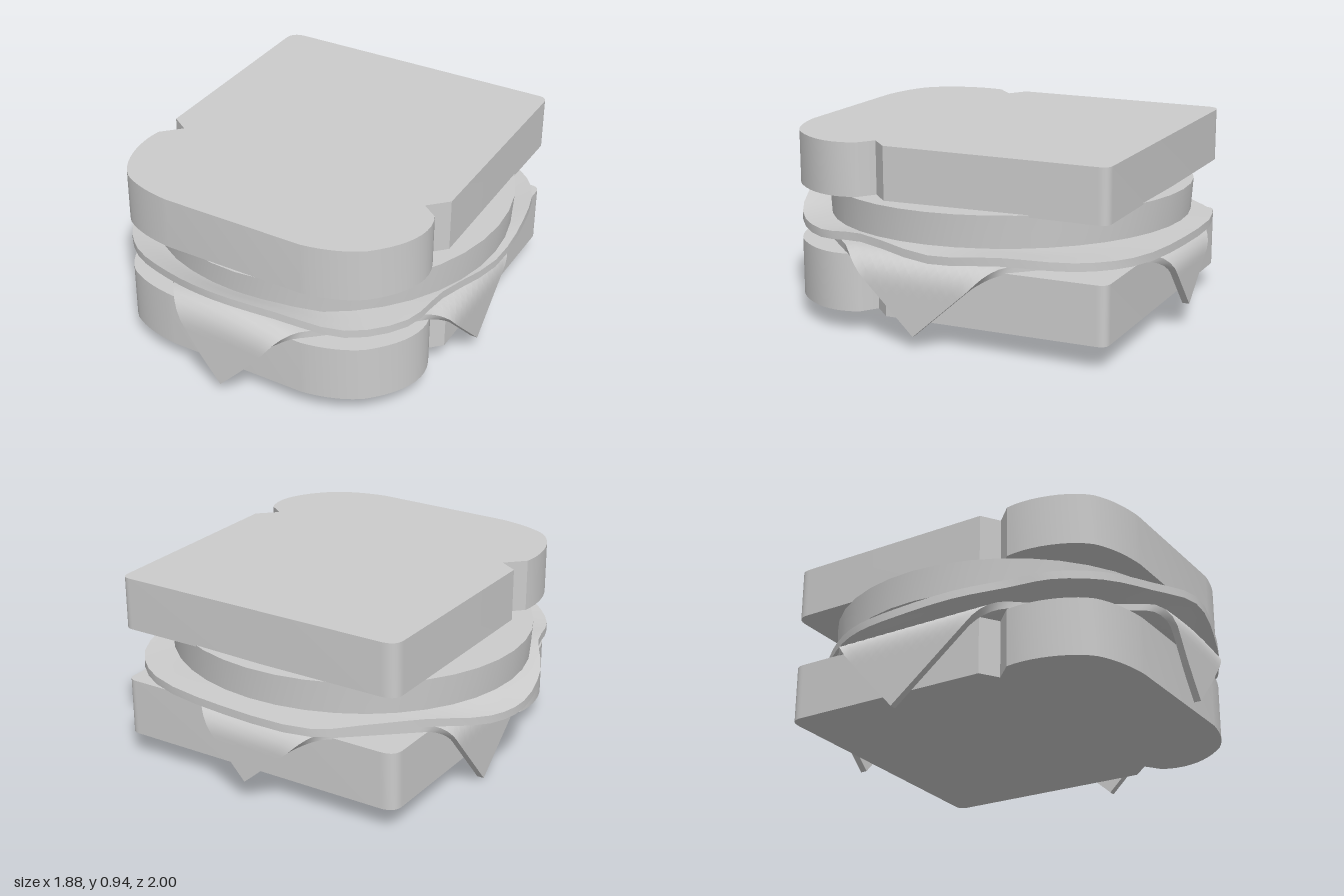
import * as THREE from 'three';
import { toCreasedNormals } from 'three/addons/utils/BufferGeometryUtils.js';

const material = new THREE.MeshStandardMaterial({ color: 0xcccccc, side: THREE.DoubleSide });
const smooth = THREE.MathUtils.smoothstep;
const lerp = THREE.MathUtils.lerp;

function part(name, geometry, crease = 0.6) {
  const mesh = new THREE.Mesh(toCreasedNormals(geometry, crease), material);
  mesh.name = name;
  return mesh;
}

// Move every vertex of a geometry by a rule (x, y, z) => [x, y, z]
function warp(geometry, rule) {
  const p = geometry.attributes.position;
  for (let i = 0; i < p.count; i++) p.setXYZ(i, ...rule(p.getX(i), p.getY(i), p.getZ(i)));
  geometry.computeVertexNormals();
  return geometry;
}

// Bread slice: square back, notched sides, rounded crown toward the front
function bread(name, bottom, top, tiltX, tiltZ) {
  const s = new THREE.Shape();
  s.moveTo(-0.70, -0.80);
  s.quadraticCurveTo(-0.70, -0.87, -0.62, -0.87);
  s.lineTo(0.76, -0.87);
  s.quadraticCurveTo(0.81, -0.87, 0.81, -0.82);
  s.lineTo(0.82, 0.24);
  s.lineTo(0.73, 0.33);
  s.lineTo(0.81, 0.39);
  s.bezierCurveTo(0.87, 0.52, 0.81, 0.66, 0.68, 0.78);
  s.quadraticCurveTo(0.57, 0.86, 0.40, 0.88);
  s.lineTo(-0.32, 0.87);
  s.quadraticCurveTo(-0.50, 0.85, -0.60, 0.78);
  s.bezierCurveTo(-0.69, 0.70, -0.74, 0.52, -0.71, 0.38);
  s.lineTo(-0.62, 0.29);
  s.lineTo(-0.71, 0.23);
  s.closePath();
  const g = new THREE.ExtrudeGeometry(s, { depth: top - bottom, bevelEnabled: false, curveSegments: 10 });
  g.rotateX(Math.PI / 2).translate(0, top, 0);
  return part(name, warp(g, (x, y, z) => [x, y + tiltX * x + tiltZ * z, z]));
}

// Cheese: a square slice set cornerwise, each corner folded down over the bread
function cheese() {
  const R = [1.20, 0.05], F = [0.02, 1.28], L = [-1.15, -0.19], B = [0.04, -1.23];
  const radius = 0.09, y0 = 0.385;
  const fold = (v, lo, hi, h) => {
    const d = v > hi ? v - hi : v < lo ? lo - v : 0;
    if (d === 0) return [v, 0];
    const a = Math.min(d / radius, Math.PI / 2);
    const out = (radius + h) * Math.sin(a);
    const drop = (radius + h) * (1 - Math.cos(a)) + Math.max(0, d - radius * Math.PI / 2);
    return [v > hi ? hi + out : lo - out, drop];
  };
  const g = new THREE.BoxGeometry(2, 0.035, 2, 44, 1, 44);
  return part('cheeseSlice', warp(g, (u, h, v) => {
    const a = (u + 1) / 2, b = (v + 1) / 2;
    const flat = [0, 1].map(k => lerp(lerp(B[k], R[k], a), lerp(L[k], F[k], a), b));
    const [x, dx] = fold(flat[0], -0.69, 0.80, h);
    const [z, dz] = fold(flat[1], -0.88, 0.88, h);
    const swell = 0.05 * Math.exp(-((x / 0.4) ** 2)) * smooth(z, 0.4, 0.85) * (1 - smooth(dz, 0, 0.25));
    return [x, y0 + 0.02 + h - dx - dz + swell, z];
  }));
}

// Ham: thin round slice with a wavy rim that curls up at the front and sags at the side
function ham() {
  const rim = new THREE.CatmullRomCurve3([
    [0, 0.57, 1.0], [0.3, 0.54, 0.95], [0.6, 0.47, 0.83], [0.8, 0.46, 0.6], [0.85, 0.48, 0.35],
    [0.935, 0.45, -0.05], [0.92, 0.48, -0.4], [0.82, 0.47, -0.72], [0.6, 0.46, -0.91],
    [0.15, 0.45, -0.99], [-0.33, 0.45, -0.97], [-0.5, 0.45, -0.82], [-0.7, 0.44, -0.6],
    [-0.89, 0.39, -0.32], [-0.94, 0.38, -0.08], [-0.89, 0.42, 0.2], [-0.77, 0.47, 0.42],
    [-0.72, 0.48, 0.62], [-0.56, 0.5, 0.8], [-0.3, 0.53, 0.92],
  ].map(p => new THREE.Vector3(...p)), true);
  const t = 0.02, steps = [0, 0.4, 0.7, 0.8, 0.86, 0.91, 0.96, 1];
  const profile = [
    ...steps.map(r => new THREE.Vector2(r, -t)),
    ...steps.slice().reverse().map(r => new THREE.Vector2(r, t)),
  ];
  const g = new THREE.LatheGeometry(profile, 60);
  return part('hamSlice', warp(g, (x, y, z) => {
    const r = Math.hypot(x, z);
    const turn = (Math.atan2(x, z) / (2 * Math.PI) + 1) % 1;
    const p = rim.getPoint(turn);
    return [p.x * r, lerp(0.455, p.y, smooth(r, 0.72, 1.08) / smooth(1, 0.72, 1.08)) + y, p.z * r];
  }), 0.9);
}

// Thick round slice under the top bread, lying slightly tilted
function filling() {
  const g = new THREE.CylinderGeometry(0.9, 0.89, 0.155, 40);
  return part('roundFilling', warp(g, (x, y, z) => [x + 0.04, 0.572 + y + 0.026 * x - 0.022 * z, z - 0.04]));
}

export function createModel() {
  const group = new THREE.Group();
  group.name = 'sandwich';
  group.add(
    bread('bottomBread', 0.10, 0.385, 0.006, -0.012),
    cheese(),
    ham(),
    filling(),
    bread('topBread', 0.66, 0.92, 0.006, -0.008),
  );
  return group;
}
